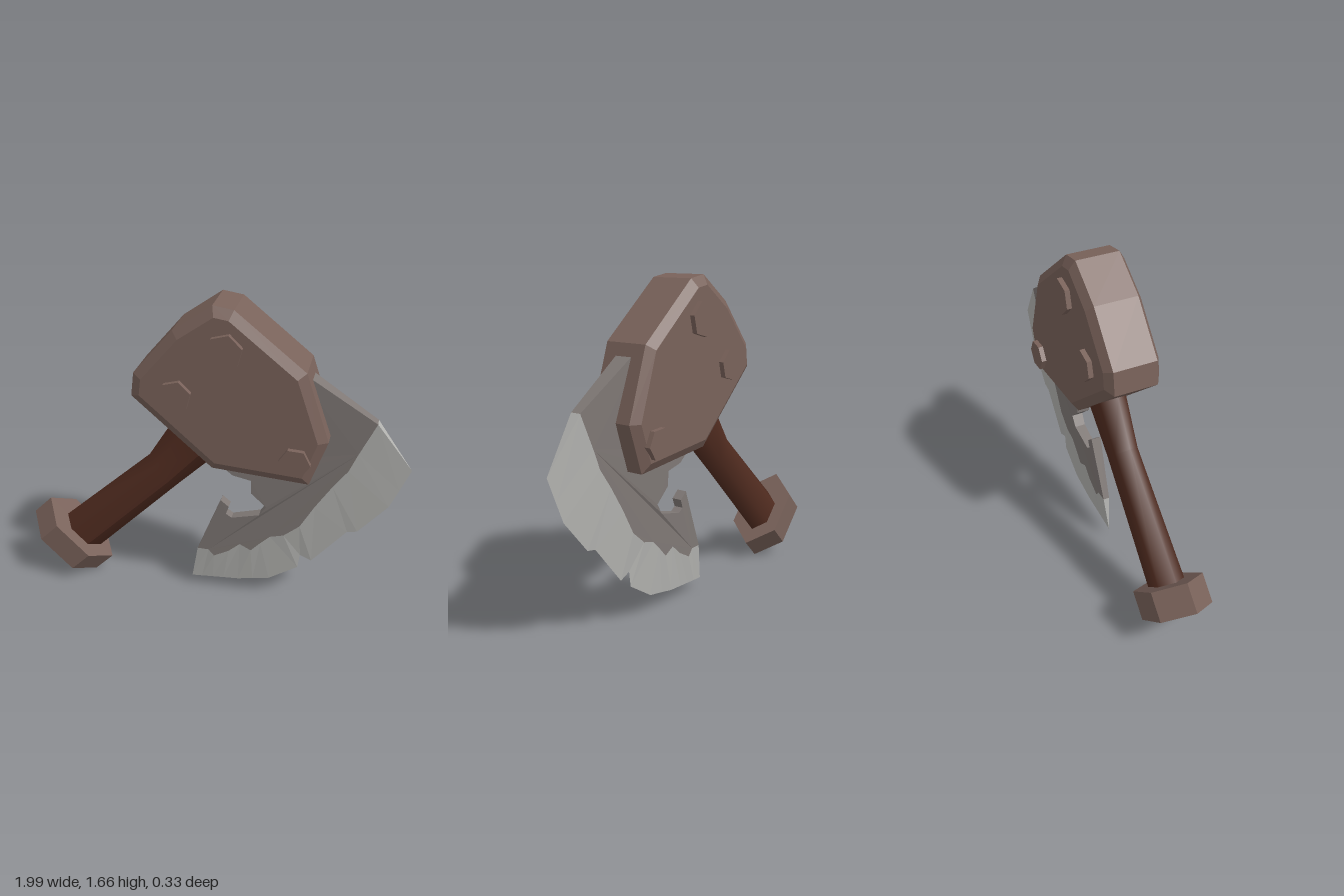
import * as THREE from 'three';
import { mergeGeometries } from 'three/addons/utils/BufferGeometryUtils.js';

const mat = (name, color) => {
  const m = new THREE.MeshStandardMaterial({ color });
  m.name = name;
  return m;
};

// Solid symmetric about z = 0 from an outline of [x, y, half thickness]
function plate(points) {
  let pts = points;
  const flat = (list) => list.map(([x, y]) => new THREE.Vector2(x, y));
  if (THREE.ShapeUtils.area(flat(pts)) < 0) pts = [...pts].reverse();
  const pos = [];
  const put = (p, side) => pos.push(p[0], p[1], p[2] * side);
  for (const [a, b, c] of THREE.ShapeUtils.triangulateShape(flat(pts), [])) {
    [a, b, c].forEach((i) => put(pts[i], 1));
    [a, c, b].forEach((i) => put(pts[i], -1));
  }
  pts.forEach((a, i) => {
    const b = pts[(i + 1) % pts.length];
    if (a[2] + b[2] === 0) return;
    put(a, 1); put(a, -1); put(b, -1);
    put(a, 1); put(b, -1); put(b, 1);
  });
  const g = new THREE.BufferGeometry();
  g.setAttribute('position', new THREE.Float32BufferAttribute(pos, 3));
  g.computeVertexNormals();
  return g;
}

export function createModel() {
  const model = new THREE.Group();
  model.name = 'hammerAxe';
  const iron = mat('brownIron', 0x79625a);
  const wood = mat('darkWood', 0x512c20);
  const steel = mat('darkSteel', 0x7f7875);
  const edgeSteel = mat('brightSteel', 0xb3b3b0);
  const add = (parent, name, geometry, material) => {
    const mesh = new THREE.Mesh(geometry, material);
    mesh.name = name;
    parent.add(mesh);
    return mesh;
  };

  // Chamfered head block
  const headOutline = [
    [0.04, 1.665], [0.14, 1.65], [0.48, 1.38], [0.6, 1.04], [0.52, 0.8],
    [0.04, 0.83], [-0.36, 1.18], [-0.345, 1.3], [-0.15, 1.53],
  ].map(([x, y]) => new THREE.Vector2(x, y));
  const head = new THREE.ExtrudeGeometry(new THREE.Shape(headOutline), {
    depth: 0.22, bevelEnabled: true, bevelSegments: 1,
    bevelThickness: 0.03, bevelSize: 0.045, bevelOffset: -0.045,
  });
  head.translate(0, 0, -0.11);
  add(model, 'head', head, iron);

  // Hexagonal bolts running through the head
  for (const [x, y, r, turn] of [
    [0.105, 1.463, 0.088, 0.27], [-0.13, 1.22, 0.08, 0.27], [0.45, 0.935, 0.077, -0.05],
  ]) {
    const bolt = new THREE.CylinderGeometry(r, r, 0.33, 6).toNonIndexed();
    bolt.computeVertexNormals();
    bolt.rotateY(Math.PI / 6).rotateX(Math.PI / 2).rotateZ(turn).translate(x, y, 0);
    add(model, 'bolt', bolt, iron);
  }

  // Grip and pommel share a frame tilted 45 degrees
  const shaft = new THREE.Group();
  shaft.name = 'shaft';
  shaft.rotation.z = -Math.PI / 4;
  model.add(shaft);

  // Grip rings: [distance along axis, sideways centre, half width, half depth]
  const rings = [
    [-0.36, -0.694, 0.127, 0.073], [0.344, -0.68, 0.108, 0.062],
    [0.6, -0.709, 0.139, 0.072], [0.8, -0.709, 0.15, 0.078],
  ];
  const grip = new THREE.CylinderGeometry(1, 1, 3, 6, 3).rotateY(Math.PI / 6);
  const p = grip.attributes.position;
  for (let i = 0; i < p.count; i++) {
    const [t, w, hw, hz] = rings[Math.round(p.getY(i) + 1.5)];
    p.setXYZ(i, w + p.getX(i) * hw, t, (p.getZ(i) * hz) / Math.sin(Math.PI / 3));
  }
  grip.computeVertexNormals();
  add(shaft, 'grip', grip, wood);

  const pommel = new THREE.CylinderGeometry(0.238, 0.238, 0.144, 6).rotateY(Math.PI / 6).toNonIndexed();
  pommel.scale(1, 1, 0.68).translate(-0.711, -0.39, 0);
  pommel.computeVertexNormals();
  add(shaft, 'pommel', pommel, iron);

  // Wavy grind line paired with the chipped cutting edge: [grind x, y, edge x, y]
  const grind = [
    [0.815, 1.12, 0.997, 0.88], [0.74, 0.95, 0.95, 0.76], [0.7, 0.85, 0.91, 0.66],
    [0.63, 0.75, 0.77, 0.49], [0.55, 0.62, 0.72, 0.48], [0.48, 0.49, 0.55, 0.27],
    [0.4, 0.42, 0.49, 0.295], [0.33, 0.4, 0.48, 0.215], [0.28, 0.35, 0.33, 0.115],
    [0.23, 0.295, 0.24, 0.097], [0.17, 0.325, 0.16, 0.08], [0.11, 0.27, 0.08, 0.074],
    [0.03, 0.225, 0.02, 0.069], [0, 0.26, -0.04, 0.064], [-0.06, 0.26, -0.095, 0.06],
  ];
  const inner = grind.map(([x, y], i) => [x, y, 0.026 - i * 0.0007]);
  const outer = grind.map(([, , x, y]) => [x, y, 0]);

  // Blade body with the hooked notch at its back
  add(model, 'bladeBody', plate([
    ...inner,
    [0.067, 0.59, 0.026], [0.11, 0.555, 0.026], [0.095, 0.51, 0.025], [0.125, 0.49, 0.025],
    [0.27, 0.53, 0.028], [0.305, 0.585, 0.03], [0.225, 0.66, 0.034], [0.225, 0.735, 0.036],
    [0.13, 0.755, 0.038], [0.055, 0.815, 0.04], [0.15, 1.0, 0.045], [0.4, 1.386, 0.05],
  ]), steel);

  // Sharpened bevel
  const bevel = [];
  for (let i = 0; i < grind.length - 1; i++) {
    bevel.push(plate([inner[i], inner[i + 1], outer[i + 1], outer[i]]));
  }
  add(model, 'bladeEdge', mergeGeometries(bevel), edgeSteel);

  return model;
}
